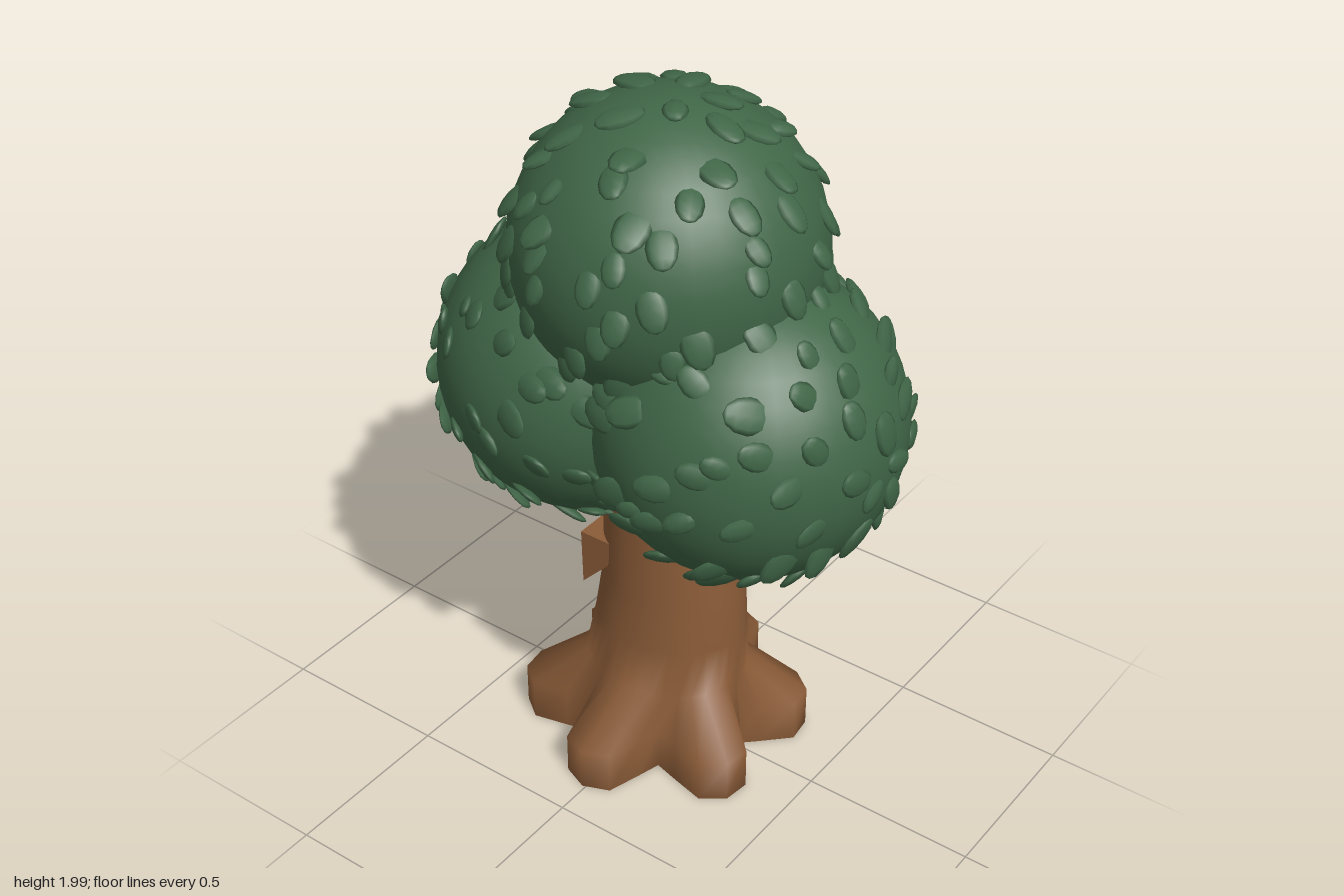
import * as THREE from 'three';
import { mergeGeometries } from 'three/addons/utils/BufferGeometryUtils.js';

const bark = new THREE.MeshStandardMaterial({ color: 0x8b5c38, side: THREE.DoubleSide });
const foliage = new THREE.MeshStandardMaterial({ color: 0x406647 });

// Small seeded generator
function seeded(seed) {
  let s = seed;
  return () => (s = (s * 16807) % 2147483647) / 2147483647;
}

// Trunk skin: star-shaped rings for the six roots, then ellipses above, open below
function trunkGeometry() {
  const rootProfile = [[-30, 0.235], [-20, 0.29], [-11, 0.375], [0, 0.398], [11, 0.375], [20, 0.29]];
  const around = [];
  for (let k = 0; k < 6; k++) {
    for (const [offset, r] of rootProfile) {
      around.push([THREE.MathUtils.degToRad(30 + 60 * k + offset), r]);
    }
  }
  const star = (y, f) => around.map(([a, r]) => [Math.sin(a) * r * f, y, Math.cos(a) * r * f * 1.04 - 0.01]);
  const oval = (y, rx, rz, dz) => around.map(([a]) => [Math.sin(a) * rx, y, Math.cos(a) * rz + dz]);
  const rings = [
    star(0.012, 0.92), star(0, 1), star(0.125, 1),
    oval(0.24, 0.21, 0.242, -0.005), oval(0.39, 0.192, 0.225, 0.01),
    oval(0.55, 0.177, 0.21, 0.02), oval(0.74, 0.172, 0.2, 0.012), oval(1.0, 0.165, 0.19, 0),
  ];
  const index = [], n = around.length;
  for (let j = 0; j < rings.length - 1; j++) {
    for (let i = 0; i < n; i++) {
      const a = j * n + i, b = j * n + (i + 1) % n;
      index.push(a, b, b + n, a, b + n, a + n);
    }
  }
  const g = new THREE.BufferGeometry();
  g.setAttribute('position', new THREE.Float32BufferAttribute(rings.flat(2), 3));
  g.setIndex(index);
  g.computeVertexNormals();
  return g;
}

// Bark wedge: a side profile (z, y) drawn out across the back
function wedgeGeometry() {
  const profile = [[-0.09, 0.66], [-0.195, 0.66], [-0.191, 0.49], [-0.105, 0.58]];
  const shape = new THREE.Shape(profile.map(([z, y]) => new THREE.Vector2(z, y)));
  return new THREE.ExtrudeGeometry(shape, { depth: 0.29, bevelEnabled: false })
    .rotateY(-Math.PI / 2).translate(0.145, 0, 0);
}

// Flat leaves spread over a ball, their tips lifted and pointing away from the pole
function leavesGeometry(ball, others, rand) {
  const leaf = new THREE.SphereGeometry(1, 8, 6);
  const parts = [], count = 125;
  const turn = new THREE.Quaternion().setFromUnitVectors(new THREE.Vector3(0, 1, 0), ball.pole);
  for (let i = 0; i < count; i++) {
    const h = 1 - 2 * (i + 0.5) / count + (rand() - 0.5) * 0.06;
    const a = i * 2.39996 + (rand() - 0.5) * 0.5;
    const s = Math.sqrt(Math.max(0, 1 - h * h));
    const normal = new THREE.Vector3(s * Math.cos(a), h, s * Math.sin(a)).applyQuaternion(turn);
    const p = ball.center.clone().addScaledVector(normal, ball.radius + 0.002);
    const size = 0.75 + rand() * 0.45, twist = (rand() - 0.5) * 0.9;
    if (others.some((o) => p.distanceTo(o.center) < o.radius - 0.01)) continue;

    const side = new THREE.Vector3().crossVectors(ball.pole, normal).normalize();
    const tip = new THREE.Vector3().crossVectors(side, normal).normalize();
    if (tip.dot(ball.pole) > 0) tip.negate();
    tip.applyAxisAngle(normal, twist);
    // Lift the tip out of the surface, least around the pole
    const lift = (0.25 + rand() * 0.25) * (h > 0.85 ? 0.4 : 1);
    const y = tip.clone().multiplyScalar(Math.cos(lift)).addScaledVector(normal, Math.sin(lift));
    const x = new THREE.Vector3().crossVectors(y, normal).normalize();
    const z = new THREE.Vector3().crossVectors(x, y);
    const m = new THREE.Matrix4().makeBasis(x, y, z).setPosition(p);
    m.scale(new THREE.Vector3(0.04 * size, 0.058 * size, 0.013));
    parts.push(leaf.clone().applyMatrix4(m));
  }
  return mergeGeometries(parts);
}

export function createModel() {
  const model = new THREE.Group();
  model.name = 'tree';
  const add = (name, geometry, material, parent = model) => {
    const mesh = new THREE.Mesh(geometry, material);
    mesh.name = name;
    parent.add(mesh);
    return mesh;
  };

  add('trunkAndRoots', trunkGeometry(), bark);
  add('barkWedge', wedgeGeometry(), bark);

  // Crown: three overlapping balls, the lower two facing front and back
  const ball = (name, y, z, radius, pole) => ({ name, center: new THREE.Vector3(0, y, z), radius, pole });
  const balls = [
    ball('topFoliage', 1.573, 0, 0.415, new THREE.Vector3(0, 1, 0)),
    ball('frontFoliage', 1.14, 0.257, 0.42, new THREE.Vector3(0, 0, 1)),
    ball('backFoliage', 1.14, -0.257, 0.42, new THREE.Vector3(0, 0, -1)),
  ];
  const rand = seeded(71);
  for (const b of balls) {
    const group = new THREE.Group();
    group.name = b.name;
    model.add(group);
    add('foliageBall', new THREE.SphereGeometry(b.radius, 32, 20), foliage, group).position.copy(b.center);
    add('leaves', leavesGeometry(b, balls.filter((o) => o !== b), rand), foliage, group);
  }
  return model;
}
